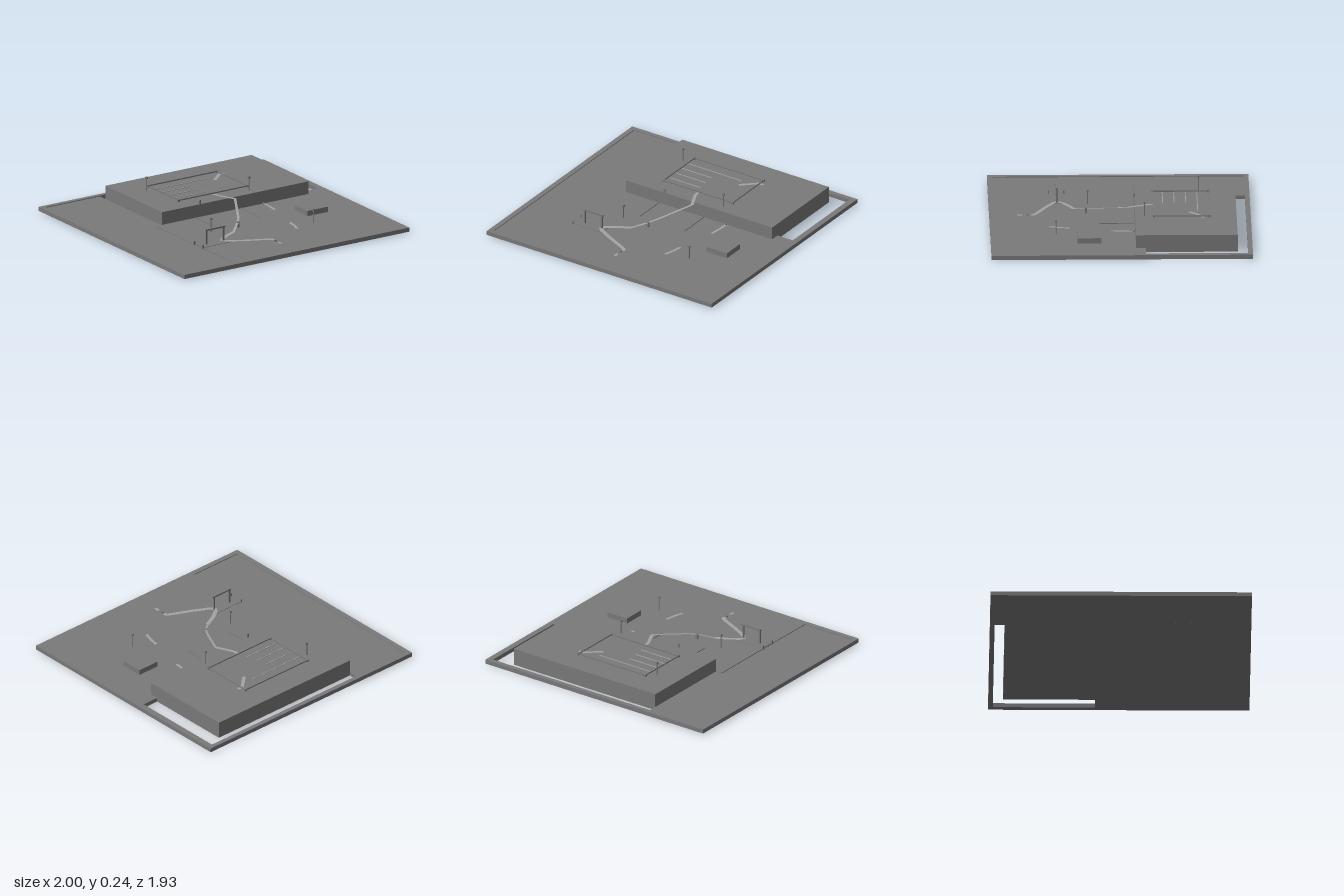
import * as THREE from 'three';

export function createModel() {
  const model = new THREE.Group();
  const grey = new THREE.MeshStandardMaterial({ color: 0x7a7a7a });
  grey.name = 'stone grey';
  const pale = new THREE.MeshStandardMaterial({ color: 0xa3a3a3, side: THREE.DoubleSide });
  pale.name = 'path grey';

  const add = (name, geo, mat = grey, parent = model) => {
    const m = new THREE.Mesh(geo, mat);
    m.name = name;
    parent.add(m);
    return m;
  };
  // box from its min and max corners
  const box = (name, x0, x1, y0, y1, z0, z1, mat = grey, parent = model) => {
    const m = add(name, new THREE.BoxGeometry(x1 - x0, y1 - y0, z1 - z0), mat, parent);
    m.position.set((x0 + x1) / 2, (y0 + y1) / 2, (z0 + z1) / 2);
    return m;
  };
  const G = 0.037, B = 0.005, T = 0.135; // ground, underside, terrace top

  // outer frame with an open middle
  box('frameFront', -1, 1, B, G, 0.925, 0.965);
  box('frameBack', -1, 1, B, G, -0.965, -0.93);
  box('frameRight', -1, -0.96, B, G, -0.93, 0.925);
  box('frameLeft', 0.955, 1, B, G, -0.93, 0.925);

  // ground: lower side strip and main yard, leaving the corner gap open
  box('sideGround', -0.96, -0.535, B, G - 0.006, -0.93, 0.925);
  box('sideGroundBack', -0.535, -0.48, B, G - 0.006, -0.93, -0.105);
  box('yard', -0.535, 0.955, B, G, -0.105, 0.925);
  box('yardBack', 0.82, 0.955, B, G, -0.175, -0.105);
  box('terrace', -0.48, 0.82, B, T, -0.855, -0.105);

  // flat ribbon along points [x, y, z]
  const ribbon = (name, pts, width) => {
    const v = pts.map(p => new THREE.Vector3(...p));
    const pos = [], idx = [];
    v.forEach((p, i) => {
      const d = v[Math.min(i + 1, v.length - 1)].clone().sub(v[Math.max(i - 1, 0)]).setY(0).normalize();
      const s = new THREE.Vector3(d.z, 0, -d.x).multiplyScalar(width / 2);
      pos.push(p.x + s.x, p.y, p.z + s.z, p.x - s.x, p.y, p.z - s.z);
      if (i) idx.push(2 * i - 2, 2 * i, 2 * i - 1, 2 * i - 1, 2 * i, 2 * i + 1);
    });
    const g = new THREE.BufferGeometry();
    g.setAttribute('position', new THREE.Float32BufferAttribute(pos, 3));
    g.setIndex(idx);
    g.computeVertexNormals();
    // make the faces look upward
    if (g.attributes.normal.getY(0) < 0) {
      g.setIndex(idx.reverse());
      g.computeVertexNormals();
    }
    add(name, g, pale);
  };
  const P = G + 0.004, Q = T + 0.004;
  ribbon('terracePath', [[0.07, Q, -0.24], [0.078, Q, -0.19], [0.105, Q, -0.13], [0.138, Q, -0.06]], 0.025);
  ribbon('rampPath', [[0.138, Q, -0.06], [0.0, 0.09, 0.19], [-0.05, 0.073, 0.255], [-0.14, P, 0.335]], 0.018);
  ribbon('yardPath', [[-0.14, P, 0.335], [-0.24, P, 0.385], [-0.305, P, 0.43], [-0.322, P, 0.455],
    [-0.3, P, 0.485], [-0.18, P, 0.55], [-0.04, P, 0.615], [-0.002, P, 0.635], [0.005, P, 0.66]], 0.03);
  ribbon('entrancePath', [[0, P, 0.72], [0, P, 0.76]], 0.022);
  ribbon('cornerPath', [[0.405, Q, -0.605], [0.365, Q, -0.605], [0.32, Q, -0.565], [0.255, Q, -0.505]], 0.025);
  ribbon('backPath', [[0.417, P, -0.105], [0.414, P, -0.01], [0.403, P, 0.075]], 0.02);
  ribbon('sidePath', [[0.33, P, 0.38], [0.315, P, 0.46], [0.293, P, 0.53]], 0.022);

  // fenced field with planted rows
  const field = new THREE.Group();
  field.name = 'field';
  model.add(field);
  for (const z of [-0.655, -0.245])
    box('fieldRail', -0.24, 0.375, T + 0.005, T + 0.014, z - 0.003, z + 0.003, grey, field);
  for (const x of [-0.24, 0.375]) {
    box('fieldRail', x - 0.003, x + 0.003, T + 0.005, T + 0.014, -0.655, -0.245, grey, field);
    for (const z of [-0.655, -0.245])
      box('fieldPost', x - 0.008, x + 0.008, T, T + 0.017, z - 0.008, z + 0.008, grey, field);
  }
  [[-0.57, 0.24], [-0.485, 0.03], [-0.4, 0.035], [-0.315, 0.05]].forEach(([z, end]) =>
    box('plantRow', -0.235, end, T, T + 0.004, z - 0.003, z + 0.003, pale, field));

  // raised square basin
  const sq = (C, x0, x1, z0, z1) => new C([[x0, z0], [x1, z0], [x1, z1], [x0, z1]]
    .map(([x, z]) => new THREE.Vector2(x, -z)));
  const rim = sq(THREE.Shape, 0.525, 0.705, 0.15, 0.325);
  rim.holes.push(sq(THREE.Path, 0.54, 0.69, 0.165, 0.31));
  const basin = add('basinWall', new THREE.ExtrudeGeometry(rim, { depth: 0.043, bevelEnabled: false }));
  basin.rotation.x = -Math.PI / 2;
  basin.position.y = G - 0.002;

  // lamp posts
  const lamp = (x, y, z) => {
    const g = new THREE.Group();
    g.name = 'lampPost';
    g.position.set(x, y, z);
    const pole = add('lampPole', new THREE.CylinderGeometry(0.004, 0.004, 0.1, 8), grey, g);
    pole.position.y = 0.05;
    box('lampHead', -0.008, 0.008, 0.095, 0.109, -0.008, 0.008, grey, g);
    model.add(g);
  };
  lamp(-0.295, T, -0.585);
  lamp(0.34, T, -0.175);
  lamp(-0.275, G, 0.235);
  lamp(0.475, G, 0.48);

  // small deck with corner posts, and the gate standing on it
  box('deck', -0.53, -0.28, G - 0.004, G + 0.003, 0.405, 0.515);
  for (const z of [0.405, 0.518])
    box('deckPost', -0.54, -0.53, 0, 0.062, z - 0.005, z + 0.005);
  for (const x of [-0.465, -0.315])
    box('gatePost', x - 0.006, x + 0.006, G, 0.146, 0.454, 0.466);
  box('gateBeam', -0.475, -0.3, 0.143, 0.155, 0.453, 0.467);

  // patio edging and small markers
  for (const x of [-0.185, 0.215])
    box('patioEdge', x - 0.003, x + 0.003, G, G + 0.006, -0.1, 0.155);
  box('terraceSign', -0.147, -0.133, T, T + 0.03, -0.114, -0.107);
  box('rampPost', -0.053, -0.037, G, 0.08, 0.242, 0.258);
  box('pathMarker', -0.006, 0.006, G, G + 0.012, 0.674, 0.686);
  box('pathMarker', 0.41, 0.422, G, G + 0.012, -0.1, -0.088);

  return model;
}
